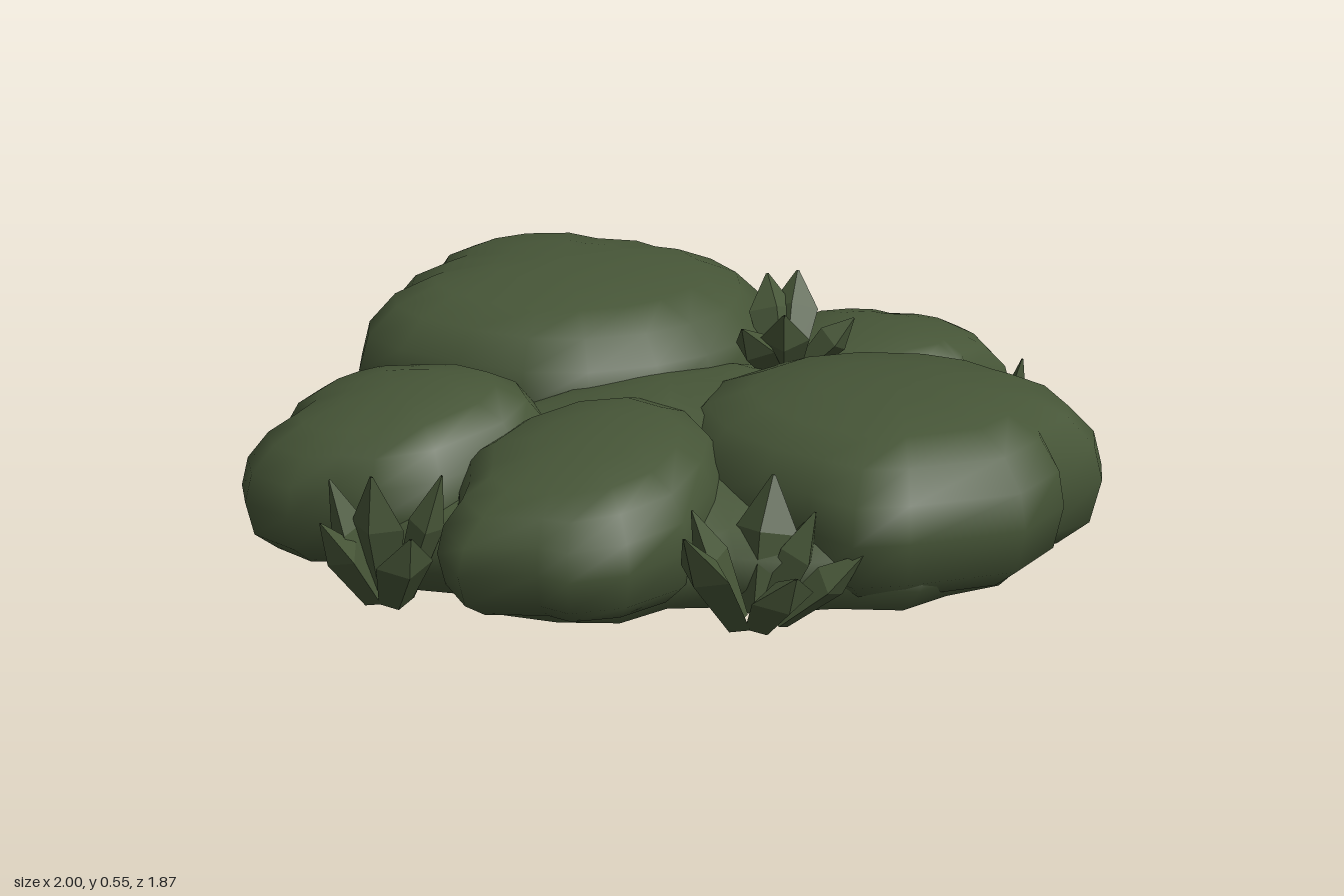
import * as THREE from 'three';

const leafGreen = new THREE.MeshStandardMaterial({ color: 0x465537, side: THREE.DoubleSide });
leafGreen.name = 'leafGreen';

// Profiles: [share of the outline radius, share of the height], bottom to top
const CUSHION = [[0.45, 0.04], [0.8, 0], [0.95, 0.15], [1, 0.43], [0.96, 0.65], [0.84, 0.83], [0.65, 0.94], [0.36, 1]];
const MOUND = [[0.5, 0], [0.8, 0.02], [0.92, 0.09], [0.98, 0.25], [1, 0.45], [0.9, 0.58], [0.6, 0.75], [0.3, 0.96]];

// Foliage cushion: a scalloped plan outline (x, z pairs) lofted through a profile.
// Scallops fade towards the crown; slopeX and slopeZ tilt the upper surface.
function cushion(name, outline, [cx, cz], y0, y1, slopeX = 0, slopeZ = 0, profile = CUSHION) {
  const rim = outline.map(([x, z]) => ({ a: Math.atan2(z - cz, x - cx), r: Math.hypot(x - cx, z - cz) }));
  rim.sort((p, q) => p.a - q.a);
  const n = rim.length;
  const soft = rim.map((p, i) => {
    let sum = 0;
    for (let k = -2; k <= 2; k++) sum += rim[(i + k + n) % n].r;
    return sum / 5;
  });
  const pos = [], idx = [];
  const add = (x, y, z, h) => pos.push(x, y + h * (slopeX * (x - cx) + slopeZ * (z - cz)), z);
  add(cx, y0, cz, 0);
  for (const [s, h] of profile) {
    const keep = h < 0.6 ? 1 : 1 - (h - 0.6) * 1.5;
    rim.forEach((p, i) => {
      const r = s * (soft[i] + (p.r - soft[i]) * keep);
      add(cx + r * Math.cos(p.a), y0 + (y1 - y0) * h, cz + r * Math.sin(p.a), h);
    });
  }
  add(cx, y1 + 0.01, cz, 1);
  const rings = profile.length, top = 1 + rings * n;
  for (let i = 0; i < n; i++) {
    const j = (i + 1) % n;
    idx.push(0, 1 + i, 1 + j);
    for (let k = 0; k < rings - 1; k++) {
      const a = 1 + k * n + i, b = 1 + k * n + j;
      idx.push(a, a + n, b, b, a + n, b + n);
    }
    idx.push(top, top - n + j, top - n + i);
  }
  const g = new THREE.BufferGeometry();
  g.setAttribute('position', new THREE.Float32BufferAttribute(pos, 3));
  g.setIndex(idx);
  g.computeVertexNormals();
  const mesh = new THREE.Mesh(g, leafGreen);
  mesh.name = name;
  return mesh;
}

// Broad fleshy leaf with a diamond cross-section, running from root to tip
function leaf(root, tip, width) {
  const a = new THREE.Vector3(...root), b = new THREE.Vector3(...tip);
  const dir = b.clone().sub(a).normalize();
  const side = new THREE.Vector3(-dir.z, 0, dir.x).normalize();
  const back = new THREE.Vector3().crossVectors(dir, side);
  const rows = [[0, 0.6], [0.6, 1], [1, 0.06]].map(([t, w]) => {
    const mid = a.clone().lerp(b, t);
    const corner = (s, d) => mid.clone().addScaledVector(side, s * width * w / 2).addScaledVector(back, d * 0.04 * w);
    return [corner(1, 0), corner(0, 1), corner(-1, 0), corner(0, -1)];
  });
  const pts = [];
  for (let k = 0; k < rows.length - 1; k++) {
    for (let c = 0; c < 4; c++) {
      const d = (c + 1) % 4;
      const [p, q, r, s] = [rows[k][c], rows[k][d], rows[k + 1][d], rows[k + 1][c]];
      pts.push(p, r, q, p, s, r);
    }
  }
  const g = new THREE.BufferGeometry().setFromPoints(pts);
  g.computeVertexNormals();
  const mesh = new THREE.Mesh(g, leafGreen);
  mesh.name = 'leaf';
  return mesh;
}

// Tuft of leaves fanning out of one root
function tuft(name, root, tips, width) {
  const group = new THREE.Group();
  group.name = name;
  for (const tip of tips) {
    const start = [0, 1, 2].map((i) => root[i] + (i === 1 ? 0 : 0.25 * (tip[i] - root[i])));
    group.add(leaf(start, tip, width));
  }
  return group;
}

export function createModel() {
  const model = new THREE.Group();
  model.name = 'shrub';

  // Low foliage mass on the ground, rising in the middle to close the gaps
  model.add(cushion('baseFoliage', [[-0.82, -0.12], [-0.74, -0.24], [-0.6, -0.26], [-0.5, -0.36], [-0.46, -0.5],
    [-0.33, -0.53], [-0.22, -0.62], [-0.04, -0.64], [0.06, -0.6], [0.2, -0.63], [0.32, -0.52], [0.42, -0.42],
    [0.56, -0.38], [0.66, -0.3], [0.78, -0.26], [0.84, -0.1], [0.8, 0.06], [0.8, 0.2], [0.75, 0.32], [0.8, 0.46],
    [0.75, 0.64], [0.6, 0.72], [0.51, 0.85], [0.36, 0.85], [0.22, 0.88], [0.08, 0.8], [-0.04, 0.76], [-0.14, 0.68],
    [-0.28, 0.62], [-0.42, 0.65], [-0.55, 0.58], [-0.67, 0.46], [-0.66, 0.34], [-0.78, 0.24], [-0.8, 0.06]],
  [0, 0.08], 0, 0.37, 0, 0, MOUND));

  // Five overlapping cushions
  model.add(cushion('backCushion', [[-0.57, -0.47], [-0.52, -0.58], [-0.45, -0.6], [-0.4, -0.71], [-0.28, -0.73],
    [-0.23, -0.85], [-0.12, -0.92], [0.02, -0.935], [0.18, -0.86], [0.22, -0.72], [0.38, -0.66], [0.4, -0.56],
    [0.49, -0.5], [0.5, -0.35], [0.43, -0.2], [0.32, -0.06], [0.15, 0.01], [0, 0.03], [-0.18, 0.01], [-0.32, -0.06],
    [-0.43, -0.2], [-0.53, -0.34]], [-0.03, -0.44], 0.16, 0.535, 0, -0.04));
  model.add(cushion('backRightCushion', [[-1, -0.08], [-0.97, -0.19], [-0.83, -0.23], [-0.82, -0.33], [-0.73, -0.4],
    [-0.64, -0.41], [-0.56, -0.4], [-0.46, -0.27], [-0.36, -0.2], [-0.27, -0.05], [-0.3, 0.1], [-0.43, 0.2],
    [-0.65, 0.25], [-0.8, 0.2], [-0.85, 0.1], [-0.95, 0.06]], [-0.63, -0.08], 0.06, 0.405, 0.15));
  model.add(cushion('backLeftCushion', [[1, -0.17], [0.94, -0.25], [0.82, -0.28], [0.82, -0.37], [0.74, -0.44],
    [0.62, -0.46], [0.5, -0.4], [0.4, -0.28], [0.36, -0.1], [0.5, 0.05], [0.68, 0.12], [0.82, 0.12], [0.85, 0.06],
    [0.97, 0.05], [1, -0.08]], [0.69, -0.16], 0.08, 0.355));
  model.add(cushion('frontRightCushion', [[-0.73, 0.52], [-0.72, 0.38], [-0.64, 0.3], [-0.58, 0.15], [-0.4, 0.05],
    [-0.2, 0], [-0.03, 0.06], [0.02, 0.22], [-0.01, 0.4], [-0.11, 0.53], [-0.25, 0.66], [-0.41, 0.7],
    [-0.54, 0.67], [-0.58, 0.6]], [-0.36, 0.36], 0.06, 0.375, 0.12, -0.06));
  model.add(cushion('frontLeftCushion', [[0.86, 0.48], [0.83, 0.65], [0.77, 0.74], [0.62, 0.77], [0.6, 0.84],
    [0.44, 0.93], [0.17, 0.89], [0.05, 0.85], [0.01, 0.72], [-0.06, 0.6], [-0.1, 0.4], [-0.08, 0.2], [0.06, 0.04],
    [0.3, -0.02], [0.5, 0.03], [0.69, 0.14], [0.79, 0.27], [0.81, 0.4]], [0.38, 0.47], 0.06, 0.43));

  // Leaf tufts in the gaps
  model.add(tuft('frontTuft', [-0.12, 0.04, 0.72], [[-0.32, 0.28, 0.78], [-0.24, 0.29, 0.66], [-0.04, 0.34, 0.66],
    [0.08, 0.2, 0.85], [-0.12, 0.2, 0.91], [0.02, 0.27, 0.74]], 0.15));
  model.add(tuft('rightTuft', [-0.79, 0.05, 0.27], [[-0.95, 0.25, 0.28], [-0.9, 0.32, 0.21], [-0.84, 0.35, 0.31],
    [-0.8, 0.24, 0.43], [-0.68, 0.33, 0.32]], 0.13));
  model.add(tuft('leftTuft', [0.78, 0.05, 0.26], [[0.93, 0.27, 0.29], [0.82, 0.38, 0.32], [0.85, 0.3, 0.16],
    [0.8, 0.24, 0.37], [0.74, 0.31, 0.2]], 0.12));
  model.add(tuft('topTuft', [0.36, 0.32, -0.02], [[0.47, 0.52, -0.16], [0.39, 0.52, -0.17], [0.21, 0.46, 0.04],
    [0.29, 0.5, 0.1], [0.51, 0.45, 0.05]], 0.12));

  return model;
}
